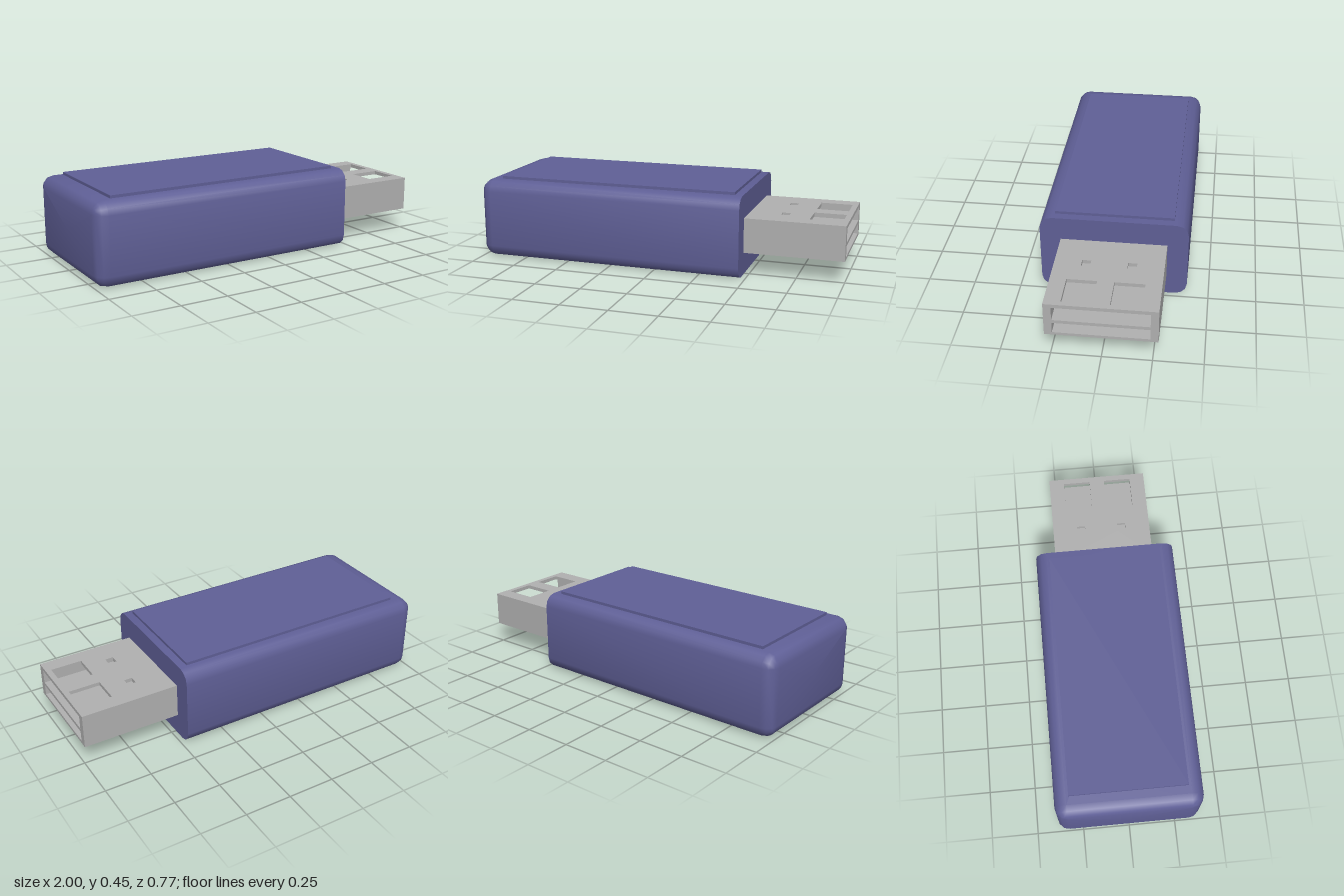
import * as THREE from 'three';
import { toCreasedNormals } from 'three/addons/utils/BufferGeometryUtils.js';

const SEG = 3; // facets per rounded corner

// Rounded rectangle outline at a given x, counter-clockwise seen from +x
function ring(x, halfW, halfH, r, midY) {
  const pts = [];
  for (let q = 0; q < 4; q++) {
    const su = q === 0 || q === 3 ? 1 : -1;
    const sv = q < 2 ? 1 : -1;
    for (let i = 0; i <= SEG; i++) {
      const a = (q + i / SEG) * Math.PI / 2;
      const u = su * (halfW - r) + r * Math.cos(a);
      const v = sv * (halfH - r) + r * Math.sin(a);
      pts.push([x, midY + v, -u]);
    }
  }
  return pts;
}

// Long block with rounded edges, rounded at the -x end and flat at the +x end
function bodyGeometry(x0, x1, halfW, height, r) {
  const midY = height / 2;
  const rings = [];
  for (let i = 0; i <= SEG; i++) {
    const a = (i / SEG) * Math.PI / 2;
    const inset = r * (1 - Math.sin(a));
    rings.push(ring(x0 + r * (1 - Math.cos(a)), halfW - inset, midY - inset, Math.max(r - inset, 0.0005), midY));
  }
  rings.push(ring(x1, halfW, midY, r, midY));

  const pos = [];
  const tri = (a, b, c) => pos.push(...a, ...b, ...c);
  const n = rings[0].length;
  const last = rings[rings.length - 1];
  for (let j = 0; j < n; j++) {
    const k = (j + 1) % n;
    for (let i = 0; i < rings.length - 1; i++) {
      tri(rings[i][j], rings[i][k], rings[i + 1][k]);
      tri(rings[i][j], rings[i + 1][k], rings[i + 1][j]);
    }
    tri([x0, midY, 0], rings[0][k], rings[0][j]);
    tri([x1, midY, 0], last[j], last[k]);
  }
  const g = new THREE.BufferGeometry();
  g.setAttribute('position', new THREE.Float32BufferAttribute(pos, 3));
  return toCreasedNormals(g, 0.7);
}

function rect(path, x0, x1, y0, y1) {
  path.moveTo(x0, y0);
  path.lineTo(x1, y0);
  path.lineTo(x1, y1);
  path.lineTo(x0, y1);
  path.closePath();
  return path;
}

export function createModel() {
  const model = new THREE.Group();
  const blue = new THREE.MeshStandardMaterial({ color: 0x5f5f96 });
  blue.name = 'slate blue plastic';
  const metal = new THREE.MeshStandardMaterial({ color: 0xb0b0b0 });
  metal.name = 'grey metal';

  function add(name, geometry, material, parent = model) {
    const mesh = new THREE.Mesh(geometry, material);
    mesh.name = name;
    parent.add(mesh);
    return mesh;
  }
  function box(name, material, parent, x0, x1, y0, y1, z0, z1) {
    const m = add(name, new THREE.BoxGeometry(x1 - x0, y1 - y0, z1 - z0), material, parent);
    m.position.set((x0 + x1) / 2, (y0 + y1) / 2, (z0 + z1) / 2);
  }

  // Plastic case and its raised top panel
  add('case', bodyGeometry(-1, 0.473, 0.385, 0.433, 0.063), blue);
  box('topPanel', blue, model, -0.893, 0.43, 0.425, 0.448, -0.308, 0.308);

  // Plug: hollow metal sleeve with a dividing tongue
  const plug = new THREE.Group();
  plug.name = 'plug';
  model.add(plug);
  const x0 = 0.473, x1 = 1, w = 0.277, inner = 0.238;
  box('sleeveBottom', metal, plug, x0, x1, 0.12, 0.135, -w, w);
  box('sleeveWallLeft', metal, plug, x0, x1, 0.135, 0.286, inner, w);
  box('sleeveWallRight', metal, plug, x0, x1, 0.135, 0.286, -w, -inner);
  box('tongue', metal, plug, x0, x1, 0.193, 0.211, -inner, inner);

  // Sleeve top, pierced by two large windows and two small holes
  const top = rect(new THREE.Shape(), x0, x1, -w, w);
  for (const s of [-1, 1]) {
    top.holes.push(rect(new THREE.Path(), 0.8, 0.97, s * 0.118 - 0.076, s * 0.118 + 0.076));
    top.holes.push(rect(new THREE.Path(), 0.64, 0.684, s * 0.116 - 0.023, s * 0.116 + 0.023));
  }
  const plate = add('sleeveTop', new THREE.ExtrudeGeometry(top, { depth: 0.02, bevelEnabled: false }), metal, plug);
  plate.rotation.x = Math.PI / 2;
  plate.position.y = 0.306;

  return model;
}
